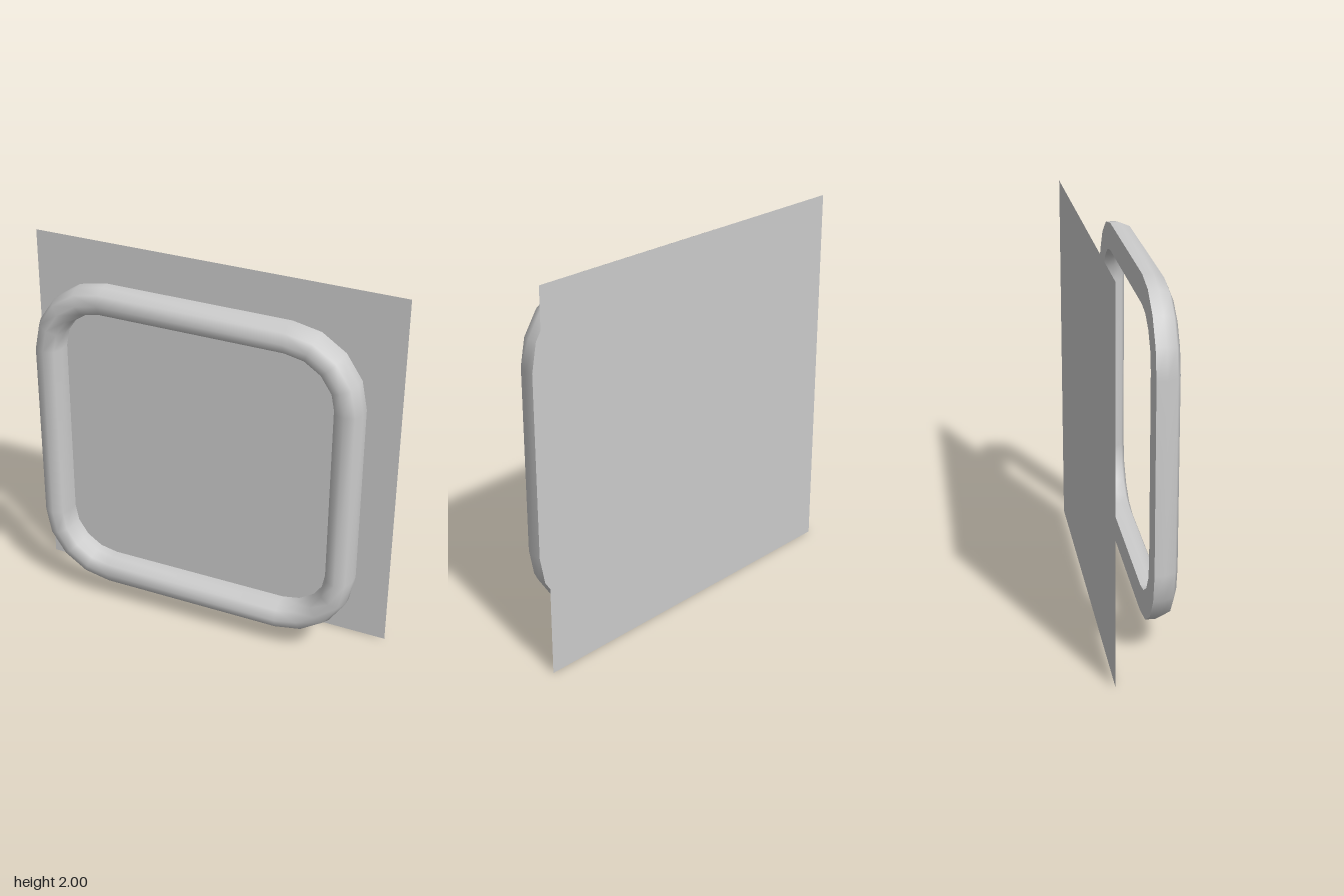
import * as THREE from 'three';

const CORNER = 0.49;   // corner arc centres, from the middle of the frame
const BEND = 0.318;    // bend radius of the frame's centre line
const TUBE = 0.073;    // half width of the moulding

// Sweep a profile of [outward offset, z] points round a rounded square.
function sweepFrame(profile) {
  const positions = [], index = [];
  const steps = 4, sections = 4 * (steps + 1), n = profile.length;
  for (let k = 0; k < 4; k++) {
    const cx = k === 0 || k === 3 ? CORNER : -CORNER;
    const cy = k < 2 ? CORNER : -CORNER;
    for (let i = 0; i <= steps; i++) {
      const a = (k + i / steps) * Math.PI / 2;
      for (const [u, z] of profile) {
        positions.push(cx + (BEND + u) * Math.cos(a), cy + (BEND + u) * Math.sin(a), z);
      }
    }
  }
  for (let s = 0; s < sections; s++) {
    const next = (s + 1) % sections;
    for (let j = 0; j < n - 1; j++) {
      const a = s * n + j, b = next * n + j;
      index.push(a, b, a + 1, b, b + 1, a + 1);
    }
  }
  const geometry = new THREE.BufferGeometry();
  geometry.setAttribute('position', new THREE.Float32BufferAttribute(positions, 3));
  geometry.setIndex(index);
  geometry.computeVertexNormals();
  return geometry;
}

export function createModel() {
  const model = new THREE.Group();
  const material = new THREE.MeshStandardMaterial({ color: 0xcccccc, side: THREE.DoubleSide });
  const add = (name, parent, geometry) => {
    const mesh = new THREE.Mesh(geometry, material);
    mesh.name = name;
    parent.add(mesh);
    return mesh;
  };

  // Flat square panel behind the frame
  add('backPanel', model, new THREE.PlaneGeometry(2, 2)).position.set(0, 1, -0.165);

  // Half-round moulding with straight sides and a flat back
  const frame = new THREE.Group();
  frame.name = 'frame';
  frame.position.y = 1;
  model.add(frame);

  const backZ = 0.04, roundZ = 0.092;
  const profile = [[TUBE, backZ]];
  for (let i = 0; i <= 4; i++) {
    const a = i * Math.PI / 4;
    profile.push([TUBE * Math.cos(a), roundZ + TUBE * Math.sin(a)]);
  }
  profile.push([-TUBE, backZ]);
  add('frameMoulding', frame, sweepFrame(profile));
  add('frameBack', frame, sweepFrame([[-TUBE, backZ], [TUBE, backZ]]));

  return model;
}
